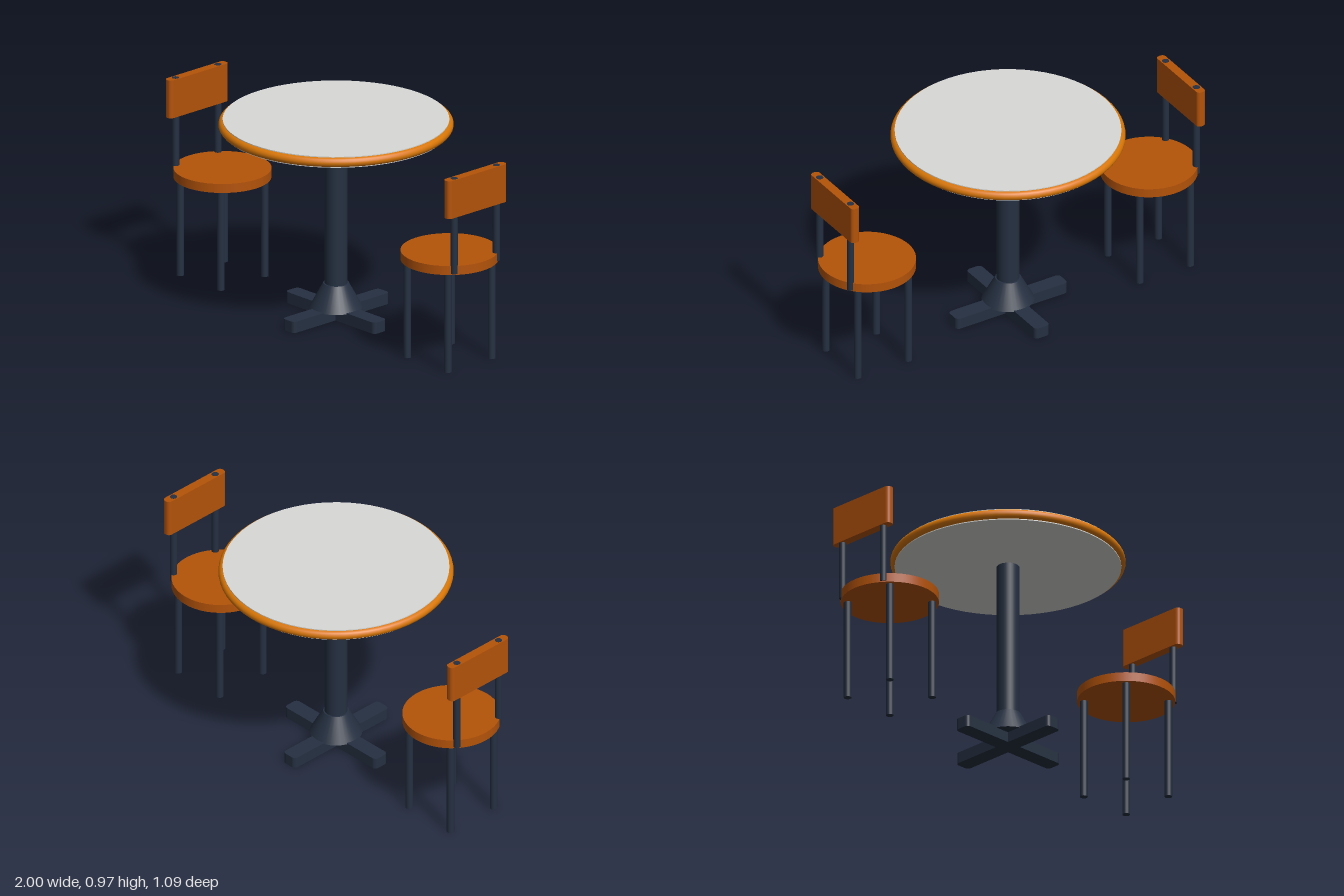
import * as THREE from 'three';

const mat = (name, color) => {
  const m = new THREE.MeshStandardMaterial({ color });
  m.name = name;
  return m;
};

export function createModel() {
  const wood = mat('brown wood', 0xb45309);
  const trim = mat('amber trim', 0xd97706);
  const steel = mat('dark slate metal', 0x253041);
  const laminate = mat('pale grey laminate', 0xd9d9d7);

  const add = (parent, name, geometry, material, x = 0, y = 0, z = 0) => {
    const mesh = new THREE.Mesh(geometry, material);
    mesh.name = name;
    mesh.position.set(x, y, z);
    parent.add(mesh);
    return mesh;
  };

  // Upright cylinder spanning y0 to y1
  const post = (parent, name, material, rTop, rBottom, y0, y1, x = 0, z = 0, sides = 24) =>
    add(parent, name, new THREE.CylinderGeometry(rTop, rBottom, y1 - y0, sides), material, x, (y0 + y1) / 2, z);

  // Slab with rounded vertical corners, standing on y = 0
  const slab = (w, d, h, r) => {
    const s = new THREE.Shape();
    const a = w / 2 - r, b = d / 2 - r;
    s.absarc(a, b, r, 0, Math.PI / 2);
    s.absarc(-a, b, r, Math.PI / 2, Math.PI);
    s.absarc(-a, -b, r, Math.PI, Math.PI * 1.5);
    s.absarc(a, -b, r, Math.PI * 1.5, Math.PI * 2);
    return new THREE.ExtrudeGeometry(s, { depth: h, bevelEnabled: false, curveSegments: 6 }).rotateX(-Math.PI / 2);
  };

  const model = new THREE.Group();
  model.name = 'tableWithTwoChairs';

  // Table: disc top, rounded rim, column, flared collar and crossed feet
  const table = new THREE.Group();
  table.name = 'table';
  model.add(table);
  post(table, 'tableTop', laminate, 0.526, 0.526, 0.92, 0.974, 0, 0, 64);
  add(table, 'tableRim', new THREE.TorusGeometry(0.523, 0.023, 16, 64).rotateX(Math.PI / 2), trim, 0, 0.947, 0);
  post(table, 'column', steel, 0.053, 0.053, 0.05, 0.922, 0, 0, 32);
  post(table, 'collar', steel, 0.06, 0.123, 0.05, 0.167, 0, 0, 32);
  add(table, 'footAcross', slab(0.608, 0.08, 0.055, 0.02), steel);
  add(table, 'footAlong', slab(0.08, 0.608, 0.0545, 0.02), steel);

  // Chair facing the table; side is +1 for left, -1 for right
  const makeChair = (side) => {
    const chair = new THREE.Group();
    chair.name = side > 0 ? 'leftChair' : 'rightChair';
    chair.position.x = side * 0.772;
    post(chair, 'seat', wood, 0.228, 0.228, 0.487, 0.531, 0, 0, 48);
    add(chair, 'backrest', slab(0.044, 0.372, 0.186, 0.018), wood, side * 0.175, 0.775, 0);
    for (const z of [-1, 1]) {
      post(chair, 'backPost', steel, 0.017, 0.017, 0.493, 0.9615, side * 0.175, z * 0.134, 16);
      for (const x of [-1, 1]) {
        post(chair, 'leg', steel, 0.018, 0.018, 0, 0.49, x * 0.138, z * 0.139, 16);
      }
    }
    model.add(chair);
  };
  makeChair(1);
  makeChair(-1);

  return model;
}
